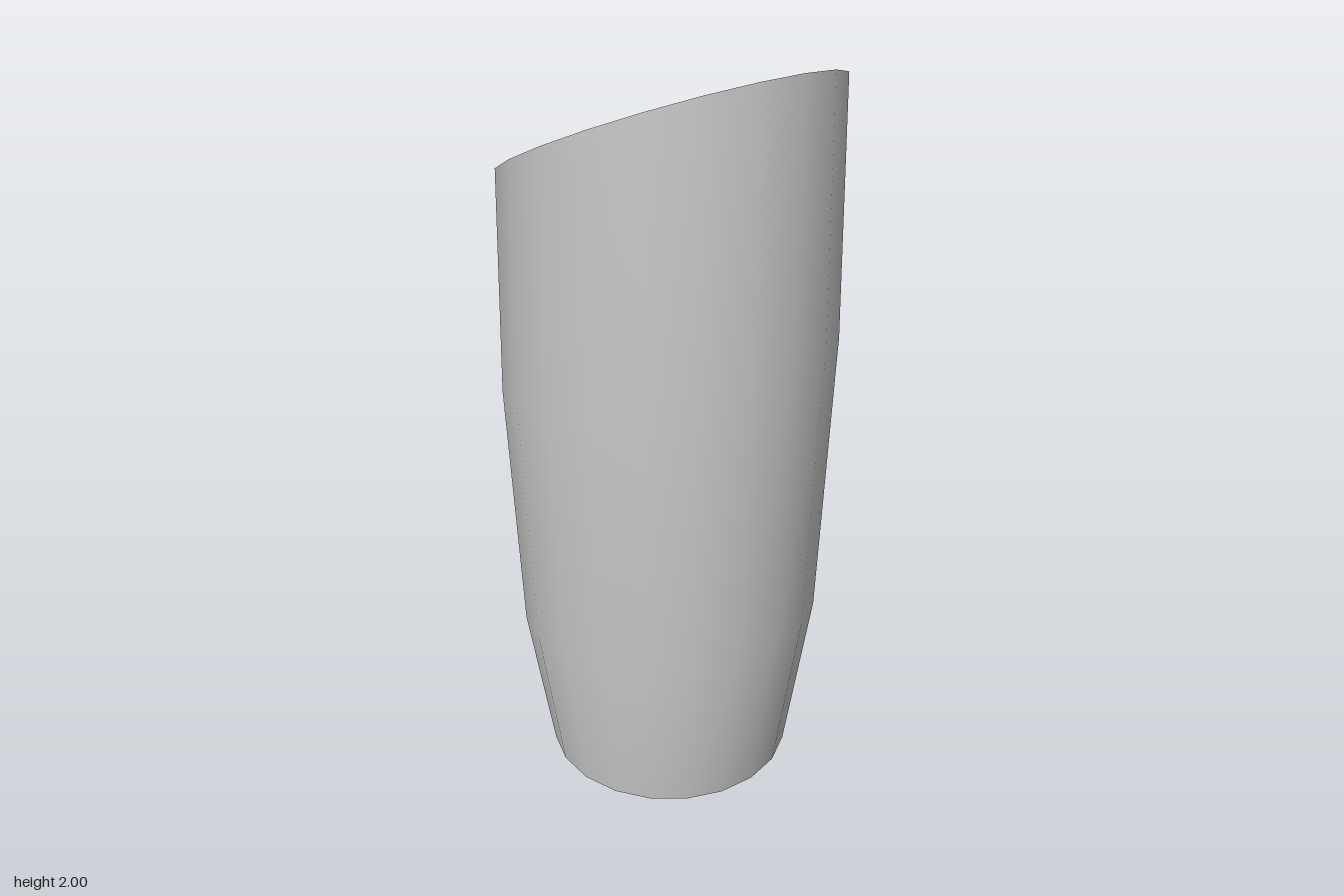
import * as THREE from 'three';

const SIDES = 20;

// One elliptical ring; tilt is the rise in y per unit of z
const ring = (y, rx, rz = rx, tilt = 0) =>
  Array.from({ length: SIDES }, (_, i) => {
    const a = (i / SIDES) * Math.PI * 2;
    const x = Math.sin(a) * rx, z = Math.cos(a) * rz;
    return [x, y + tilt * z, z];
  });

// Skin a sequence of rings, smooth within the strip and sharp at its ends
function strip(name, rings, material) {
  const index = [];
  for (let r = 0; r < rings.length - 1; r++) {
    for (let i = 0; i < SIDES; i++) {
      const j = (i + 1) % SIDES;
      const a = r * SIDES + i, b = r * SIDES + j, c = b + SIDES, d = a + SIDES;
      index.push(a, b, c, a, c, d);
    }
  }
  const geometry = new THREE.BufferGeometry();
  geometry.setAttribute('position', new THREE.Float32BufferAttribute(rings.flat(2), 3));
  geometry.setIndex(index);
  geometry.computeVertexNormals();
  const mesh = new THREE.Mesh(geometry, material);
  mesh.name = name;
  return mesh;
}

// Flat round disc facing up or down
function disc(name, y, radius, up, material) {
  const geometry = new THREE.CircleGeometry(radius, SIDES);
  geometry.rotateX(up ? -Math.PI / 2 : Math.PI / 2);
  const mesh = new THREE.Mesh(geometry, material);
  mesh.position.y = y;
  mesh.name = name;
  return mesh;
}

export function createModel() {
  const group = new THREE.Group();
  group.name = 'slantedVase';
  const material = new THREE.MeshStandardMaterial({ color: 0xcccccc });

  const wall = 0.037, floorY = 0.04, baseRadius = 0.293;
  // Rings tilt more the higher they sit: [y, rx, rz, tilt]
  const levels = [
    [0.4, 0.357, 0.369, 0.165],
    [1.1, 0.395, 0.412, 0.43],
    [1.72, 0.393, 0.418, 0.67],
  ];
  const outer = [ring(0, baseRadius), ...levels.map((l) => ring(...l))];
  const inner = [
    ring(floorY, baseRadius - wall),
    ...levels.map(([y, rx, rz, tilt]) => ring(y, rx - wall, rz - wall, tilt)),
  ];

  group.add(
    strip('outerWall', outer, material),
    strip('rim', [outer.at(-1), inner.at(-1)], material),
    strip('innerWall', [...inner].reverse(), material),
    disc('innerFloor', floorY, baseRadius - wall, true, material),
    disc('base', 0, baseRadius, false, material),
  );
  return group;
}
